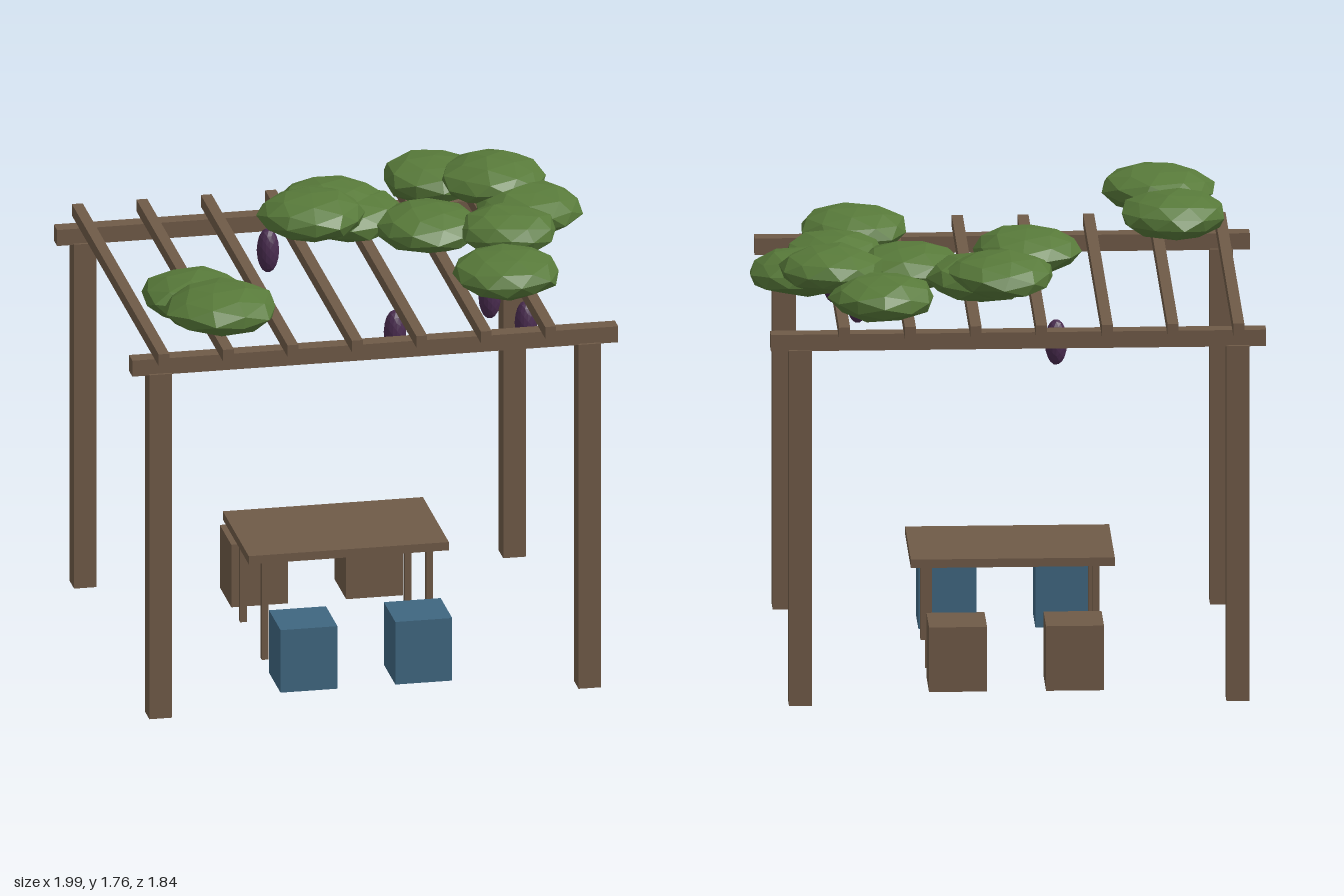
import * as THREE from 'three';

const mat = (name, color) => {
  const m = new THREE.MeshStandardMaterial({ color });
  m.name = name;
  return m;
};

export function createModel() {
  const wood = mat('wood', 0x6f5a47);
  const blue = mat('blue cushion', 0x3f6680);
  const leaf = mat('leaf green', 0x587a3a);
  const grape = mat('grape purple', 0x4a2c50);
  leaf.flatShading = grape.flatShading = true;

  const model = new THREE.Group();
  model.name = 'pergola';
  const add = (name, geo, material, x, y, z) => {
    const mesh = new THREE.Mesh(geo, material);
    mesh.name = name;
    mesh.position.set(x, y, z);
    model.add(mesh);
    return mesh;
  };
  const box = (name, w, h, d, material, x, y, z) =>
    add(name, new THREE.BoxGeometry(w, h, d), material, x, y, z);

  // Four posts and the two long beams on them
  for (const z of [0.708, -0.772]) {
    for (const x of [-0.89, 0.815]) box('post', 0.09, 1.43, 0.09, wood, x, 0.715, z);
    box('beam', 1.93, 0.066, 0.066, wood, -0.035, 1.458, z);
  }

  // Rafters across the beams
  for (let i = 0; i < 7; i++) {
    box('rafter', 0.043, 0.048, 1.705, wood, -0.89 + i * 0.256, 1.515, -0.034);
  }

  // Table with four thin legs
  box('tableTop', 0.795, 0.034, 0.51, wood, -0.035, 0.428, -0.035);
  for (const x of [-0.362, 0.292]) {
    for (const z of [0.181, -0.245]) box('tableLeg', 0.026, 0.412, 0.026, wood, x, 0.206, z);
  }

  // Cube stools, blue in front and wooden behind
  for (const x of [-0.263, 0.193]) {
    box('frontStool', 0.226, 0.26, 0.226, blue, x, 0.13, 0.452);
    box('backStool', 0.226, 0.26, 0.226, wood, x, 0.13, -0.515);
  }

  // Hanging grape bunches
  const bunch = new THREE.IcosahedronGeometry(1, 2).scale(0.044, 0.092, 0.044);
  for (const [x, z] of [[-0.19, -0.603], [0.115, 0.385], [0.635, 0.385], [0.555, 0.07]]) {
    add('grapeBunch', bunch, grape, x, 1.398, z);
  }

  // Flattened, slightly irregular leaf clumps: x, y, z, radius
  const clumps = [
    [0.49, 1.615, -0.71, 0.207], [0.68, 1.675, -0.495, 0.21], [0.785, 1.615, -0.305, 0.21],
    [0.653, 1.62, -0.065, 0.198], [0.365, 1.605, -0.2, 0.21], [0.022, 1.635, -0.452, 0.213],
    [0.095, 1.605, -0.385, 0.208], [-0.09, 1.675, -0.243, 0.211], [0.56, 1.61, 0.372, 0.215],
    [-0.693, 1.632, 0.445, 0.217], [-0.64, 1.672, 0.702, 0.222]
  ];
  clumps.forEach(([x, y, z, r], i) => {
    const geo = new THREE.IcosahedronGeometry(1, 1);
    const pos = geo.attributes.position;
    const v = new THREE.Vector3();
    for (let k = 0; k < pos.count; k++) {
      // the offset depends only on the corner's place, so faces stay joined
      v.fromBufferAttribute(pos, k);
      const bump = Math.sin(v.x * 7.1 + i * 2.3) * Math.cos(v.y * 6.3 - v.z * 8.7 + i);
      v.multiplyScalar(1 + 0.06 * bump);
      pos.setXYZ(k, v.x, v.y, v.z);
    }
    geo.rotateX(i * 0.9).rotateY(i * 1.7).scale(r, 0.088, r);
    geo.computeVertexNormals();
    add('leafClump', geo, leaf, x, y, z);
  });

  return model;
}
